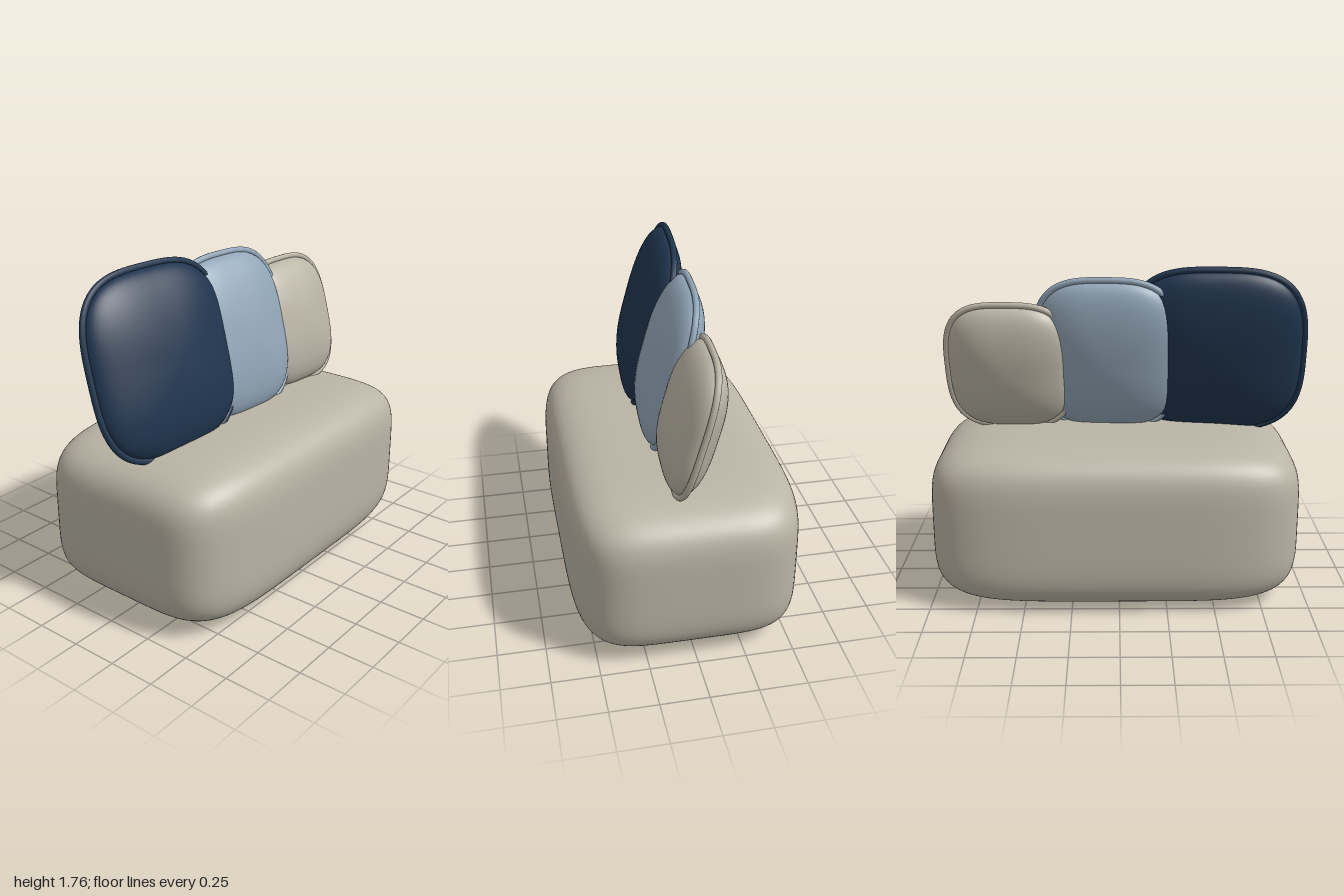
import * as THREE from 'three';
import { mergeVertices } from 'three/addons/utils/BufferGeometryUtils.js';

const makeMaterial = (name, color) => {
  const m = new THREE.MeshStandardMaterial({ color });
  m.name = name;
  return m;
};

// Position on a rounded-square outline of half size w x h
const ROUND = 3.2;
function outline(angle, w, h) {
  const c = Math.cos(angle), s = Math.sin(angle);
  const k = Math.pow(Math.abs(c) ** ROUND + Math.abs(s) ** ROUND, -1 / ROUND);
  return [w * c * k, h * s * k];
}

// Weld a reshaped geometry so that its normals are smooth all over
function smooth(geometry) {
  geometry.deleteAttribute('uv');
  geometry.deleteAttribute('normal');
  const welded = mergeVertices(geometry, 1e-5);
  welded.computeVertexNormals();
  return welded;
}

// Soft block: a box pushed onto a superellipsoid
function softBlock(hx, hy, hz, n) {
  const g = new THREE.BoxGeometry(2, 2, 2, 36, 36, 36);
  const p = g.attributes.position, v = new THREE.Vector3();
  for (let i = 0; i < p.count; i++) {
    v.fromBufferAttribute(p, i);
    const k = Math.pow(Math.abs(v.x) ** n + Math.abs(v.y) ** n + Math.abs(v.z) ** n, -1 / n);
    p.setXYZ(i, v.x * k * hx, v.y * k * hy, v.z * k * hz);
  }
  return smooth(g);
}

// Pillow: a sphere with a rounded-square rim, thin along z
function pillow(w, h, t) {
  const g = new THREE.SphereGeometry(1, 72, 36).rotateX(Math.PI / 2);
  const p = g.attributes.position;
  for (let i = 0; i < p.count; i++) {
    const x = p.getX(i), y = p.getY(i), r = Math.hypot(x, y);
    const [ox, oy] = outline(Math.atan2(y, x), w, h);
    p.setXYZ(i, ox * r, oy * r, p.getZ(i) * t);
  }
  return smooth(g);
}

// Piping cord: a closed tube round the pillow rim
function piping(w, h, radius) {
  const points = [];
  for (let i = 0; i < 64; i++) {
    const [x, y] = outline((i / 64) * Math.PI * 2, w, h);
    points.push(new THREE.Vector3(x, y, 0));
  }
  return new THREE.TubeGeometry(new THREE.CatmullRomCurve3(points, true), 160, radius, 10, true);
}

export function createModel() {
  const beige = makeMaterial('beige fabric', 0xbab4a5);
  const blue = makeMaterial('light blue fabric', 0x92a6b8);
  const navy = makeMaterial('navy fabric', 0x20354f);
  const model = new THREE.Group();

  // Upholstered seat block
  const seat = new THREE.Mesh(softBlock(0.98, 0.435, 0.6, 5), beige);
  seat.name = 'seat';
  seat.position.set(0.02, 0.435, 0);
  model.add(seat);

  // Leaning cushions, each overlapping the next
  const cushions = [
    { name: 'largeCushion', material: navy, pos: [-0.52, 1.28, -0.03], w: 0.455, h: 0.465, yaw: -0.08 },
    { name: 'mediumCushion', material: blue, pos: [0.065, 1.26, -0.03], w: 0.373, h: 0.429, yaw: -0.07 },
    { name: 'smallCushion', material: beige, pos: [0.59, 1.2, -0.035], w: 0.323, h: 0.355, yaw: -0.06 },
  ];
  for (const { name, material, pos, w, h, yaw } of cushions) {
    const cushion = new THREE.Group();
    cushion.name = name;
    const body = new THREE.Mesh(pillow(w, h, 0.132), material);
    body.name = name + 'Body';
    const cord = new THREE.Mesh(piping(w + 0.01, h + 0.01, 0.017), material);
    cord.name = name + 'Piping';
    cushion.add(body, cord);
    cushion.position.set(...pos);
    cushion.rotation.set(-0.265, yaw, 0, 'YXZ');
    model.add(cushion);
  }
  return model;
}
